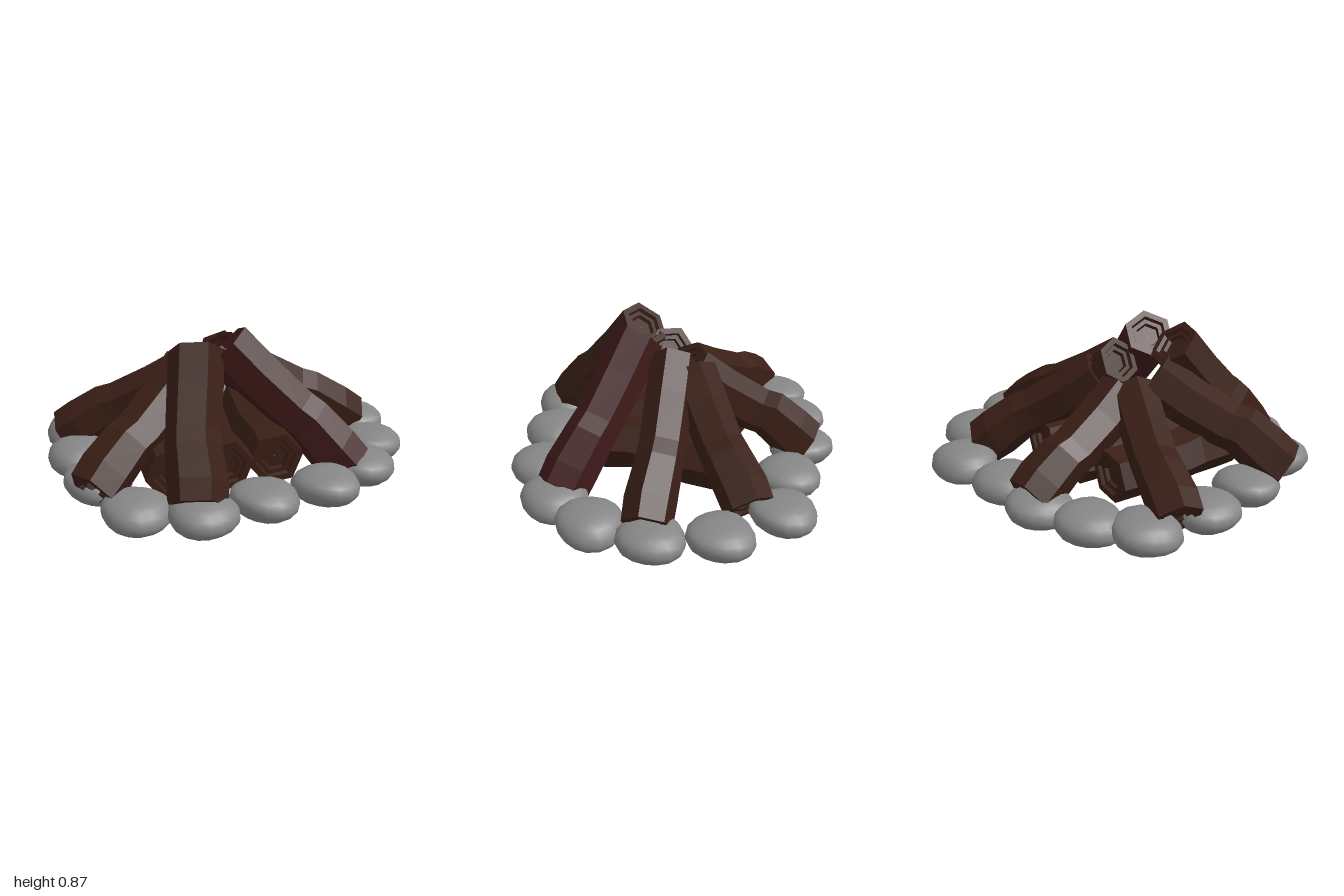
import * as THREE from 'three';

const BROWN = 0x3a1f16, RED = 0x401a1a, STONE = 0x868686;
const V = (p) => new THREE.Vector3(...p);

// Hexagonal log from outer end a to inner end b, with a kink and recessed end rings
function makeLog(name, a, b, r, spin, kink, sway, material) {
  const start = V(a), axis = V(b).sub(start), len = axis.length();
  axis.normalize();
  const side = axis.clone().cross(new THREE.Vector3(0, 1, 0)).normalize();
  const up = side.clone().cross(axis);
  const d = 0.02;
  // [distance along, radius factor, upward offset, sideways offset]
  const end = [[2 * d, 0.01], [2 * d, 0.45], [d, 0.5], [d, 0.68], [0, 0.74], [0, 1]];
  const rings = [
    ...end.map(([s, f]) => [s, f, 0, 0]),
    [len * 0.14, 1.04, kink * 0.4, 0],
    [len * 0.36, 0.96, kink, sway],
    [len * 0.46, 0.94, kink * 0.2, sway],
    [len * 0.75, 0.97, -kink * 0.3, sway * 0.4],
    ...end.slice().reverse().map(([s, f]) => [len - s, f * 0.97, 0, 0]),
  ];
  const pos = [], idx = [], N = 6;
  rings.forEach(([s, f, ku, ks], i) => {
    for (let j = 0; j < N; j++) {
      const t = spin + (j / N) * Math.PI * 2;
      const p = start.clone().addScaledVector(axis, s)
        .addScaledVector(side, ks + Math.cos(t) * r * f)
        .addScaledVector(up, ku + Math.sin(t) * r * f);
      pos.push(p.x, p.y, p.z);
      if (i < rings.length - 1) {
        const q = i * N + j, n = i * N + (j + 1) % N;
        idx.push(q, q + N, n, n, q + N, n + N);
      }
    }
  });
  let geo = new THREE.BufferGeometry();
  geo.setAttribute('position', new THREE.Float32BufferAttribute(pos, 3));
  geo.setIndex(idx);
  geo = geo.toNonIndexed();
  geo.computeVertexNormals();
  const mesh = new THREE.Mesh(geo, material);
  mesh.name = name;
  return mesh;
}

// Full, lopsided flat stone
function makeStone(x, z, i, material) {
  const geo = new THREE.SphereGeometry(1, 16, 12);
  const p = geo.attributes.position;
  const tilt = 0.2 + 0.08 * Math.sin(i * 2.3);
  for (let k = 0; k < p.count; k++) {
    const px = p.getX(k), py = p.getY(k), pz = p.getZ(k);
    // widen the flanks, then raise the rim on one side and lower it on the other
    const rho = Math.hypot(px, pz);
    const w = Math.pow(Math.max(rho, 0.001), -0.25) * (1 + 0.035 * Math.sin(3 * Math.atan2(pz, px) + i));
    const y = py - tilt * px * (1 - py * py);
    p.setXYZ(k, px * 0.182 * w, THREE.MathUtils.clamp(y, -1, 1) * 0.09, pz * 0.182 * w);
  }
  geo.computeVertexNormals();
  // weld the shading along the sphere's seam and poles
  const n = geo.attributes.normal;
  for (let row = 0; row <= 12; row++) {
    const s = row * 17, e = s + 16;
    if (row === 0 || row === 12) {
      for (let k = s; k <= e; k++) n.setXYZ(k, 0, row ? -1 : 1, 0);
      continue;
    }
    const v = new THREE.Vector3().fromBufferAttribute(n, s)
      .add(new THREE.Vector3().fromBufferAttribute(n, e)).normalize();
    n.setXYZ(s, v.x, v.y, v.z);
    n.setXYZ(e, v.x, v.y, v.z);
  }
  const mesh = new THREE.Mesh(geo, material);
  mesh.name = 'stone' + (i + 1);
  mesh.position.set(x, 0.1, z);
  mesh.rotation.y = Math.atan2(-z, x) + Math.PI / 2 + 0.4 * Math.sin(i * 1.7);
  return mesh;
}

export function createModel() {
  const model = new THREE.Group();
  model.name = 'campfire';
  const brown = new THREE.MeshStandardMaterial({ color: BROWN, flatShading: true });
  const red = new THREE.MeshStandardMaterial({ color: RED, flatShading: true });
  const grey = new THREE.MeshStandardMaterial({ color: STONE });

  // Ring of stones
  const ring = new THREE.Group();
  ring.name = 'stoneRing';
  [
    [-0.47, -0.66], [-0.17, -0.72], [0.14, -0.67], [0.49, -0.67], [0.74, -0.37],
    [0.81, -0.02], [0.74, 0.31], [0.55, 0.55], [0.26, 0.68], [-0.10, 0.70],
    [-0.45, 0.72], [-0.74, 0.56], [-0.82, 0.18], [-0.82, -0.17], [-0.73, -0.53],
  ].forEach(([x, z], i) => ring.add(makeStone(x, z, i, grey)));
  model.add(ring);

  // Logs leaning together
  const leaning = new THREE.Group();
  leaning.name = 'leaningLogs';
  const H = Math.PI / 6;
  [
    ['backLog', [-0.13, 0.14, -0.75], [-0.17, 0.53, -0.1], 0.142, 0.2, 0.03, 0.015, brown],
    ['backLeftLog', [0.53, 0.14, -0.49], [-0.02, 0.61, -0.11], 0.138, H, 0.02, -0.02, brown],
    ['leftLog', [0.77, 0.14, 0.01], [-0.06, 0.66, 0.0], 0.135, H + 0.2, 0.02, 0.015, brown],
    ['redLog', [0.475, 0.105, 0.53], [-0.1, 0.77, 0.2], 0.145, H, 0.015, 0.015, red],
    ['frontLog', [-0.46, 0.13, 0.68], [-0.27, 0.76, 0.2], 0.152, 0.08, 0.02, -0.02, brown],
    ['frontRightLog', [-0.91, 0.16, 0.385], [-0.27, 0.61, 0.05], 0.143, 0.1, 0.03, 0.015, brown],
    ['backRightLog', [-0.83, 0.15, -0.405], [-0.22, 0.55, -0.07], 0.135, H, 0.02, -0.02, brown],
  ].forEach((args) => leaning.add(makeLog(...args)));
  model.add(leaning);

  // Logs lying side by side beneath
  const base = new THREE.Group();
  base.name = 'lyingLogs';
  for (let i = 0; i < 3; i++) {
    const x = -0.49 + 0.28 * i;
    base.add(makeLog('lyingLog' + (i + 1), [x, 0.19, 0.43 + 0.02 * i],
      [x + 0.16, 0.19, -0.37 + 0.02 * i], 0.15, 0.15, 0.015, -0.025, brown));
  }
  model.add(base);
  return model;
}
